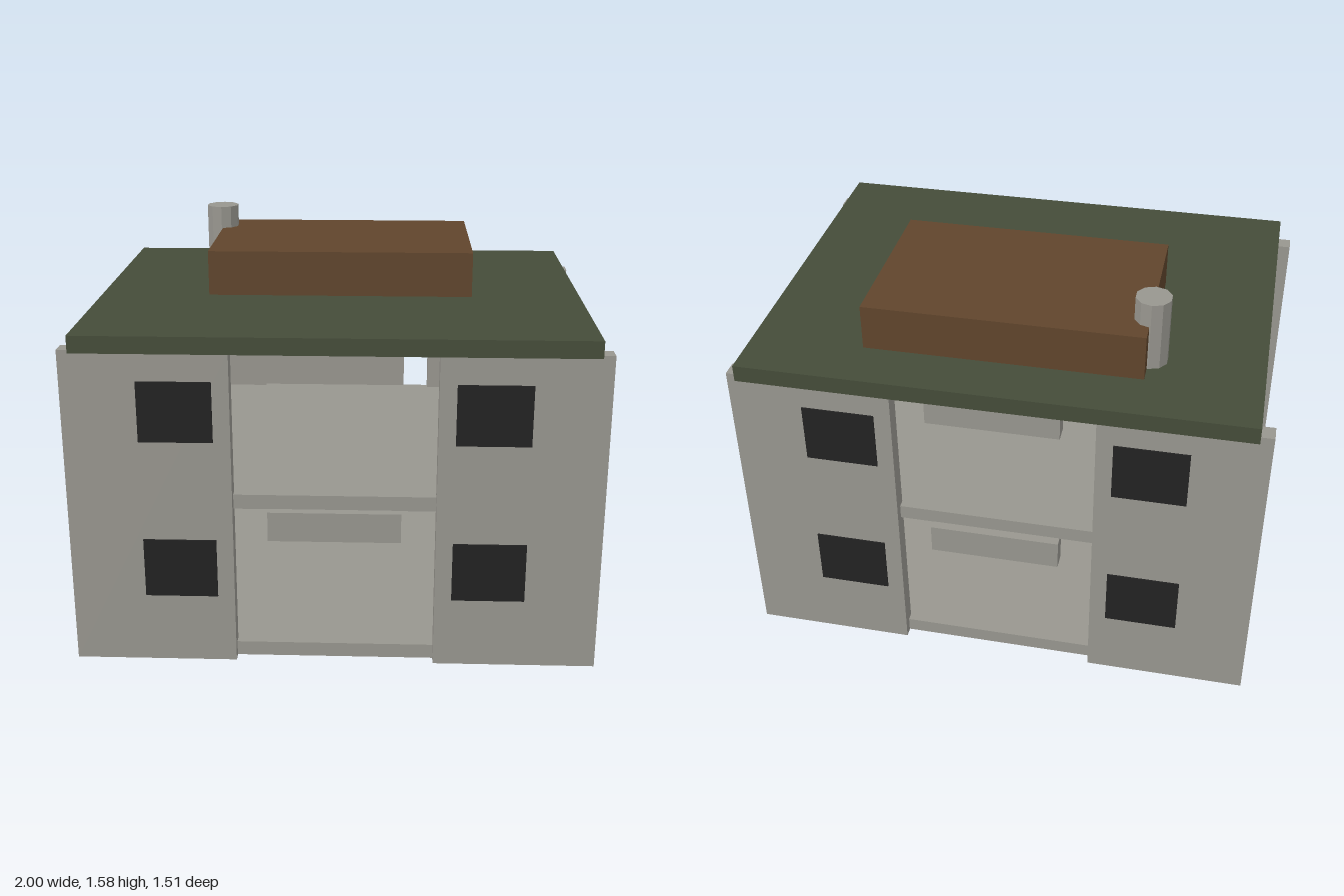
import * as THREE from 'three';

export function createModel() {
  const model = new THREE.Group();
  model.name = 'building';

  const mat = (name, color) => {
    const m = new THREE.MeshStandardMaterial({ color });
    m.name = name;
    return m;
  };
  const concrete = mat('concrete grey', 0x98968f);
  const roofGreen = mat('roof green', 0x454c39);
  const rust = mat('rust brown', 0x60452c);
  const glass = mat('window black', 0x222222);

  // Box given by its minimum and maximum on each axis
  const box = (name, material, x0, x1, y0, y1, z0, z1) => {
    const mesh = new THREE.Mesh(new THREE.BoxGeometry(x1 - x0, y1 - y0, z1 - z0), material);
    mesh.position.set((x0 + x1) / 2, (y0 + y1) / 2, (z0 + z1) / 2);
    mesh.name = name;
    model.add(mesh);
  };
  // Box given by centre and full size on x and z
  const slab = (name, material, x, w, y0, y1, z, d) =>
    box(name, material, x - w / 2, x + w / 2, y0, y1, z - d / 2, z + d / 2);

  const wallTop = 1.247;

  // Floors
  slab('groundFloor', concrete, 0, 1.82, 0.003, 0.06, 0, 1.36);
  slab('upperFloor', concrete, 0, 1.82, 0.623, 0.68, 0, 1.36);

  for (const sx of [-1, 1]) {
    // Side walls, set in from the ends of the facade panels
    slab('sideWall', concrete, sx * 0.88, 0.064, 0, wallTop, 0, 1.3);

    for (const sz of [-1, 1]) {
      // Facade panels either side of the open bay
      slab('facadePanel', concrete, sx * 0.69, 0.62, 0, wallTop, sz * 0.683, 0.065);
      // Thin window plates
      for (const y of [0.275, 0.9]) {
        slab('window', glass, sx * 0.582, 0.276, y, y + 0.233, sz * 0.717, 0.008);
      }
    }
  }

  // Hanging beams in the open bays, front and back
  for (const sz of [-1, 1]) {
    for (const y of [0.508, 1.13]) {
      slab('bayBeam', concrete, 0, 0.5, y, y + 0.116, sz * 0.683, 0.065);
    }
  }

  // Roof with raised block and chimney
  slab('roof', roofGreen, 0, 1.9, wallTop, 1.312, 0, 1.51);
  box('roofBlock', rust, -0.522, 0.522, 1.312, 1.488, -0.544, 0.136);

  const pipe = new THREE.CylinderGeometry(0.067, 0.067, 0.27, 10).toNonIndexed();
  pipe.computeVertexNormals();
  const chimney = new THREE.Mesh(pipe, concrete);
  chimney.name = 'chimney';
  chimney.position.set(-0.527, 1.443, -0.408);
  model.add(chimney);

  return model;
}
